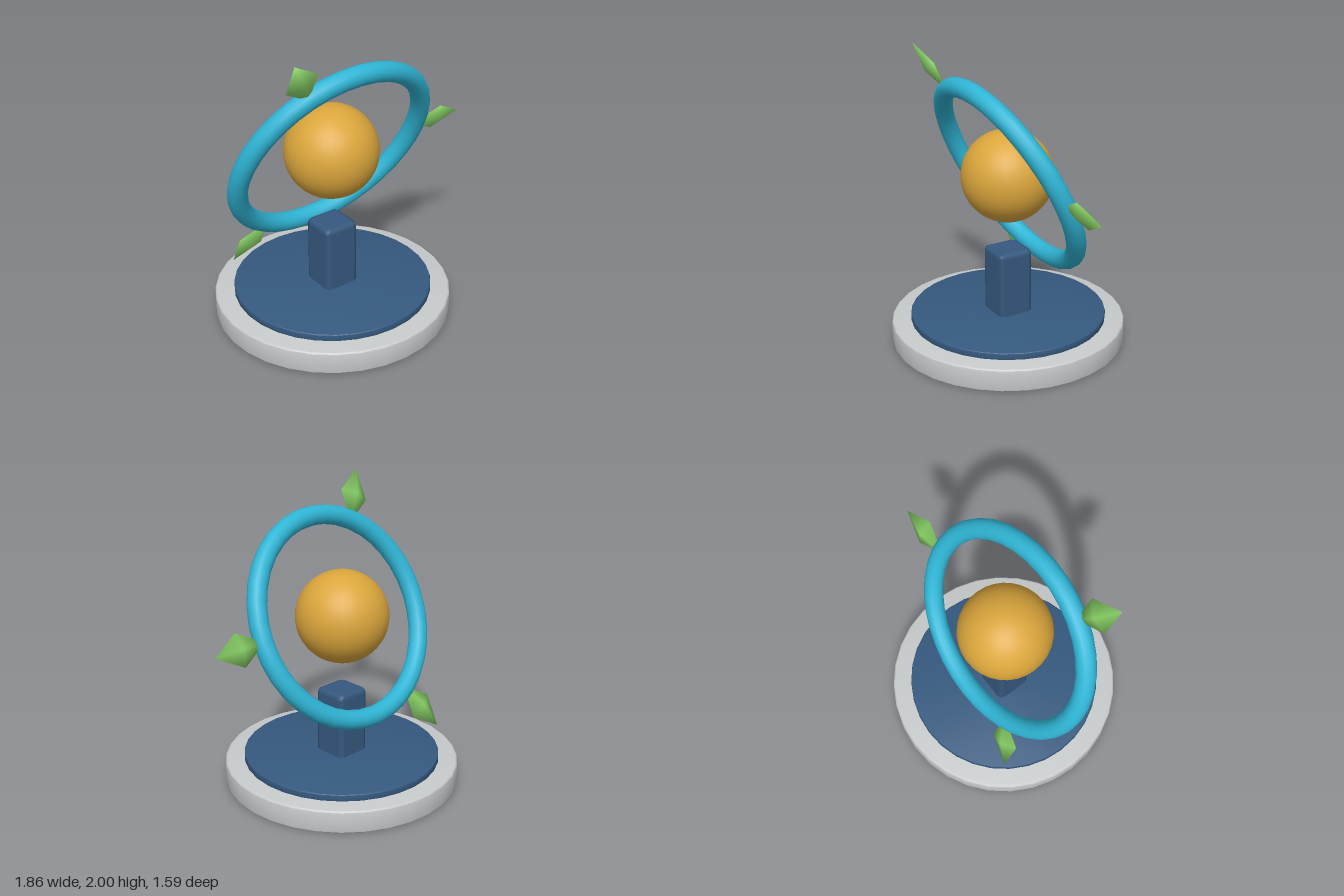
import * as THREE from 'three';
import { toCreasedNormals } from 'three/addons/utils/BufferGeometryUtils.js';
import { RoundedBoxGeometry } from 'three/addons/geometries/RoundedBoxGeometry.js';

const material = (name, color) => {
  const m = new THREE.MeshStandardMaterial({ color });
  m.name = name;
  return m;
};

function addMesh(parent, name, geometry, mat) {
  const mesh = new THREE.Mesh(geometry, mat);
  mesh.name = name;
  parent.add(mesh);
  return mesh;
}

// Solid disc from y0 to y1 with rounded rims
function disc(radius, y0, y1, bevel) {
  const points = [new THREE.Vector2(0, y0)];
  for (const [cy, start] of [[y0 + bevel, -Math.PI / 2], [y1 - bevel, 0]]) {
    for (let i = 0; i <= 3; i++) {
      const a = start + (i / 3) * Math.PI / 2;
      points.push(new THREE.Vector2(radius - bevel + bevel * Math.cos(a), cy + bevel * Math.sin(a)));
    }
  }
  points.push(new THREE.Vector2(0, y1));
  return toCreasedNormals(new THREE.LatheGeometry(points, 32), 0.5);
}

export function createModel() {
  const grey = material('light grey', 0xc6cacb);
  const navy = material('navy', 0x35597f);
  const gold = material('gold', 0xdba63c);
  const teal = material('teal', 0x2fb5d5);
  const green = material('leaf green', 0x88d066);

  const model = new THREE.Group();
  model.name = 'orbitStand';
  const stand = new THREE.Group();
  stand.name = 'stand';
  stand.position.x = -0.14;
  model.add(stand);

  // Round base, inset plate and short post
  addMesh(stand, 'base', disc(0.796, 0, 0.16, 0.02), grey);
  addMesh(stand, 'basePlate', disc(0.665, 0.15, 0.205, 0.01), navy);
  const post = addMesh(stand, 'post', new RoundedBoxGeometry(0.25, 0.5, 0.25, 1, 0.038), navy);
  post.position.y = 0.408;

  // Floating core
  const core = addMesh(stand, 'core', new THREE.SphereGeometry(0.31, 32, 24), gold);
  core.position.y = 1.165;

  // Ring leaning forward, carrying three crystals
  const orbit = new THREE.Group();
  orbit.name = 'orbit';
  orbit.position.y = 1.165;
  orbit.rotation.x = 0.45;
  stand.add(orbit);
  addMesh(orbit, 'ring', new THREE.TorusGeometry(0.685, 0.065, 14, 36), teal);

  for (let i = 0; i < 3; i++) {
    const angle = (i * Math.PI * 2) / 3;
    const geometry = new THREE.SphereGeometry(1, 4, 2).scale(0.11, 0.195, 0.044);
    const crystal = addMesh(orbit, 'crystal', geometry, green);
    crystal.position.set(0.87 * Math.cos(angle), 0.87 * Math.sin(angle), 0);
    crystal.rotation.z = angle - Math.PI / 2;
  }
  return model;
}
